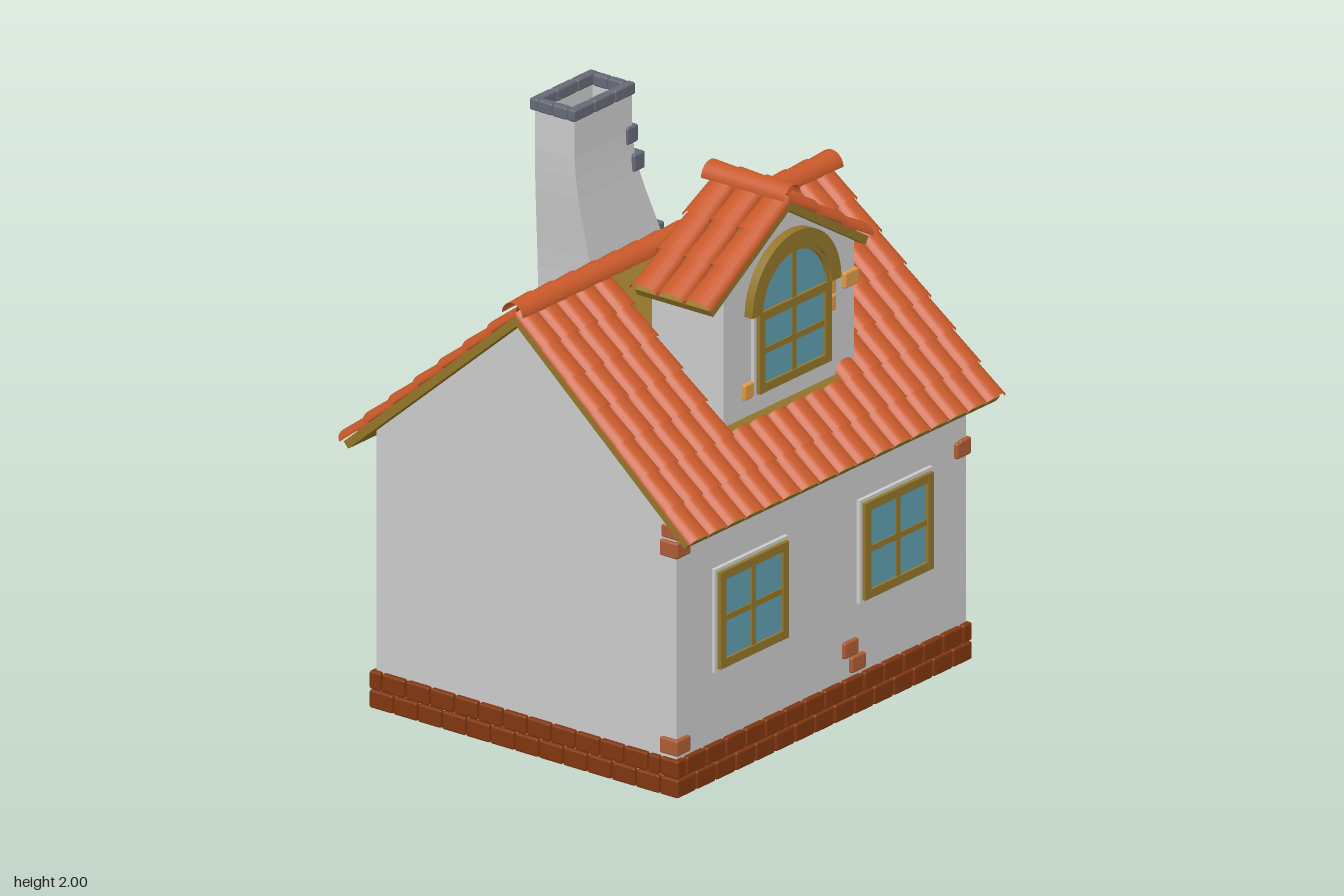
import * as THREE from 'three';
import { mergeGeometries } from 'three/addons/utils/BufferGeometryUtils.js';
import { RoundedBoxGeometry } from 'three/addons/geometries/RoundedBoxGeometry.js';

const mat = (color, extra = {}) => new THREE.MeshStandardMaterial({ color, ...extra });
const M = {
  wall: mat(0xcccccc), grey: mat(0xcccccc, { side: THREE.DoubleSide, flatShading: true }),
  tile: mat(0xc8592a, { side: THREE.DoubleSide }), gold: mat(0x94762a), glass: mat(0x5f9fb0),
  brick: mat(0x80360f), light: mat(0xe09a48), dark: mat(0xad5d35), slate: mat(0x666a76),
  wood: mat(0x85552f), stone: mat(0xd2cdd2), leg: mat(0xb5653a)
};

function add(parent, name, geo, material, x = 0, y = 0, z = 0) {
  const m = new THREE.Mesh(geo, material);
  m.name = name;
  m.position.set(x, y, z);
  parent.add(m);
  return m;
}
function group(parent, name, x = 0, y = 0, z = 0, ry = 0) {
  const g = new THREE.Group();
  g.name = name;
  g.position.set(x, y, z);
  g.rotation.y = ry;
  parent.add(g);
  return g;
}
const box = (w, h, d) => new THREE.BoxGeometry(w, h, d);
const rbox = (w, h, d) => new RoundedBoxGeometry(w, h, d, 1, 0.008);
const extrude = (shape, depth) =>
  new THREE.ExtrudeGeometry(shape, { depth, bevelEnabled: false, curveSegments: 20 });
const poly = pts => new THREE.Shape(pts.map(p => new THREE.Vector2(...p)));

// Half-elliptical band
function archGeo(rx, ry, t, depth) {
  const s = new THREE.Shape();
  s.moveTo(rx, 0);
  s.absellipse(0, 0, rx, ry, 0, Math.PI, false);
  s.lineTo(t - rx, 0);
  s.absellipse(0, 0, rx - t, ry - t, Math.PI, 0, true);
  return extrude(s, depth);
}

// One roof slope: slab plus overlapping half-round tiles; local +z faces down the slope
function roofSide(parent, name, run, rise, cols, pitch, rows, skip = () => false) {
  const len = Math.hypot(run, rise), step = len / rows;
  const slope = group(parent, name, 0, 0, run);
  slope.rotation.x = -Math.atan2(run, rise);
  add(slope, 'roofSlab', box(cols * pitch - 0.02, len, 0.03), M.gold, 0, len / 2, -0.015);
  const tiles = [];
  for (let c = 0; c < cols; c++) for (let r = 0; r < rows; r++) {
    if (skip(c, r)) continue;
    const g = new THREE.CylinderGeometry(pitch * 0.46, pitch * 0.52, step * 1.1, 8, 1, true, -Math.PI / 2, Math.PI);
    g.scale(1, 1, 0.62);
    g.rotateX(-0.05);
    tiles.push(g.translate((c - (cols - 1) / 2) * pitch, (r + 0.5) * step, 0.002));
  }
  add(slope, 'roofTiles', mergeGeometries(tiles), M.tile);
}

// Row of tapered half-round ridge tiles along x
function ridge(parent, name, length, n, r) {
  const step = length / n, parts = [];
  for (let i = 0; i < n; i++) {
    const g = new THREE.CylinderGeometry(r * 0.88, r, step * 1.06, 10, 1, true, -Math.PI / 2, Math.PI);
    g.rotateZ(Math.PI / 2).rotateX(-Math.PI / 2);
    parts.push(g.translate((i + 0.5) * step - length / 2, 0, 0));
  }
  return add(parent, name, mergeGeometries(parts), M.tile);
}

// Framed window with a grid of panes, centred on its own origin
function windowUnit(parent, name, x, y, w, h, rows = 2) {
  const g = group(parent, name, x, y, 0);
  add(g, 'trim', box(w + 0.025, h + 0.025, 0.03), M.wall);
  add(g, 'glass', box(w - 0.04, h - 0.04, 0.01), M.glass, 0, 0, 0.014);
  for (const s of [-1, 1]) add(g, 'frameSide', box(0.032, h, 0.04), M.gold, s * (w / 2 - 0.016), 0, 0.01);
  add(g, 'mullion', box(0.022, h, 0.03), M.gold, 0, 0, 0.01);
  for (let i = 0; i <= rows; i++) {
    const edge = i % rows === 0;
    add(g, 'frameBar', box(w - 0.01, edge ? 0.032 : 0.022, edge ? 0.039 : 0.028), M.gold,
      0, (h - 0.032) * (i / rows - 0.5), 0.01);
  }
  return g;
}

// Accent stones: [x, y, width, height, material, protrusion]
function stones(parent, list) {
  for (const [x, y, w = 0.075, h = 0.06, m = M.light, out = 0.015] of list)
    add(parent, 'accentStone', rbox(w, h, 0.08), m, x, y, out - 0.04);
}

// Two staggered courses of bricks between two ground points
function brickRun(parent, x0, z0, x1, z1) {
  const len = Math.hypot(x1 - x0, z1 - z0), n = Math.max(1, Math.round(len / 0.108)), step = len / n;
  const g = group(parent, 'brickBase', x0, 0, z0, -Math.atan2(z1 - z0, x1 - x0));
  for (let row = 0; row < 2; row++) {
    const cuts = [0];
    for (let i = 1; i < n + row; i++) cuts.push((i - row / 2) * step);
    cuts.push(len);
    for (let i = 0; i + 1 < cuts.length; i++)
      add(g, 'brick', rbox(cuts[i + 1] - cuts[i] - 0.005, 0.067, 0.08), M.brick,
        (cuts[i] + cuts[i + 1]) / 2, 0.041 + row * 0.071, 0);
  }
}

export function createModel() {
  const house = new THREE.Group();
  house.name = 'cottage';

  // Floor and brick plinth
  add(house, 'floor', box(1.58, 0.012, 1.28), M.wall, 0, 0.012, 0.07);
  for (const r of [[-0.83, 0.71, 0.815, 0.71], [-0.79, 0.67, -0.79, -0.61], [-0.75, -0.57, 0.36, -0.57],
    [0.4, -0.53, 0.4, -0.83], [0.44, -0.79, 0.815, -0.79], [0.775, -0.75, 0.775, -0.35], [0.775, 0.49, 0.775, 0.67]])
    brickRun(house, ...r);

  // Front and back walls
  add(house, 'frontWall', box(1.6, 1.04, 0.04), M.wall, -0.005, 0.53, 0.71);
  add(house, 'backWall', box(1.6, 1.04, 0.04), M.wall, -0.005, 0.53, -0.57);
  const front = group(house, 'frontDetails', 0, 0, 0.73);
  windowUnit(front, 'frontWindow', -0.41, 0.6, 0.38, 0.36);
  windowUnit(front, 'frontWindow', 0.395, 0.6, 0.38, 0.36);
  stones(front, [[-0.785, 0.19, 0.08, 0.06, M.dark], [-0.785, 0.925, 0.08, 0.06, M.dark], [-0.775, 0.985, 0.08, 0.05, M.dark],
    [0.15, 0.255, 0.08, 0.06, M.dark], [0.19, 0.19, 0.08, 0.06, M.dark], [0.785, 0.805, 0.06, 0.06, M.dark]]);

  // Gable walls, drawn with local x = -z
  const leftGable = poly([[-0.73, 0], [0.59, 0], [0.59, 1.04], [-0.07, 1.61], [-0.73, 1.04]]);
  add(group(house, 'plainGable', -0.81, 0, 0, Math.PI / 2), 'gableWall', extrude(leftGable, 0.04), M.wall);
  const side = group(house, 'doorGable', 0.8, 0, 0, Math.PI / 2);
  const s = new THREE.Shape();
  s.moveTo(-0.73, 0.005); s.lineTo(-0.38, 0.005); s.lineTo(-0.38, 0.67);
  s.absellipse(-0.07, 0.67, 0.31, 0.21, Math.PI, 0, true);
  s.lineTo(0.24, 0.005); s.lineTo(0.59, 0.005); s.lineTo(0.59, 1.04); s.lineTo(-0.07, 1.61); s.lineTo(-0.73, 1.04);
  add(side, 'gableWall', extrude(s, 0.04), M.wall, 0, 0, -0.04);

  // Arched doorway
  add(side, 'doorArch', archGeo(0.41, 0.28, 0.11, 0.08), M.gold, -0.07, 0.67, -0.05);
  for (const u of [-0.425, 0.285]) {
    add(side, 'doorColumn', box(0.11, 0.63, 0.075), M.stone, u, 0.355, -0.015);
    add(side, 'columnFoot', rbox(0.125, 0.06, 0.11), M.stone, u, 0.035, -0.005);
  }
  const c = 0.037;
  stones(side, [[-0.705, 0.8, 0.08, 0.06, M.dark], [-0.485, 0.8, 0.09, 0.07, M.dark], [-0.5, 0.27, 0.05, 0.05, M.dark],
    [-0.435, 0.585, 0.06, 0.07, M.light, c], [-0.405, 0.465, 0.06, 0.065, M.light, c], [-0.445, 0.18, 0.04, 0.04, M.light, c],
    [-0.435, 0.09, 0.055, 0.04, M.light, c], [0.285, 0.475, 0.06, 0.07, M.light, c], [0.295, 0.415, 0.055, 0.035, M.light, c],
    [0.3, 0.09, 0.055, 0.04, M.light, c], [-0.255, 1.36, 0.09], [-0.255, 1.3, 0.065], [-0.255, 1.07, 0.07, 0.05],
    [-0.255, 1.015, 0.09, 0.05], [0.1, 1.23, 0.055], [0.11, 1.17]]);
  windowUnit(side, 'gableWindow', -0.07, 1.2, 0.29, 0.29);

  // Plank shutter with heart
  const shutter = group(side, 'shutter', 0.56, 0, 0);
  for (let i = 0; i < 4; i++) {
    const inner = i === 1 || i === 2;
    add(shutter, 'plank', box(0.068, inner ? 0.33 : 0.3, 0.03), M.wood, (i - 1.5) * 0.072, inner ? 0.495 : 0.48, 0.008);
  }
  const arch = add(shutter, 'shutterArch', archGeo(0.19, 0.13, 0.045, 0.06), M.gold, 0, 0.56, -0.015);
  arch.scale.x = 1.02;
  const heart = new THREE.Shape();
  heart.moveTo(0, -0.055);
  heart.bezierCurveTo(0.05, -0.02, 0.085, 0, 0.085, 0.03);
  heart.bezierCurveTo(0.085, 0.068, 0.02, 0.068, 0, 0.03);
  heart.bezierCurveTo(-0.02, 0.068, -0.085, 0.068, -0.085, 0.03);
  heart.bezierCurveTo(-0.085, 0, -0.05, -0.02, 0, -0.055);
  add(shutter, 'heart', extrude(heart, 0.01), M.glass, 0.005, 0.51, 0.02);

  // Main roof, with tiles left out where the dormer stands
  const roof = group(house, 'mainRoof', 0, 0.99, 0.07);
  roofSide(roof, 'frontSlope', 0.76, 0.66, 17, 0.103, 7, (col, row) => col > 4 && col < 11 && row > 1);
  roofSide(group(roof, 'backHalf', 0, 0, 0, Math.PI), 'backSlope', 0.76, 0.66, 17, 0.103, 7);
  ridge(roof, 'ridgeTiles', 1.77, 15, 0.052).position.y = 0.668;

  // Dormer
  const dormer = group(house, 'dormer');
  const body = poly([[-0.365, 1.2], [0.36, 1.2], [0.36, 1.67], [0, 1.89], [-0.365, 1.67]]);
  add(dormer, 'dormerWalls', extrude(body, 0.315), M.wall, 0, 0, 0.27);
  const dRoof = group(dormer, 'dormerRoof', 0, 1.66, 0.42);
  for (const d of [-1, 1])
    roofSide(group(dRoof, 'dormerHalf', 0, 0, 0, d * Math.PI / 2), 'dormerSlope', 0.44, 0.27, 3, 0.118, 3);
  const dRidge = ridge(dRoof, 'dormerRidge', 0.355, 3, 0.053);
  dRidge.position.y = 0.287;
  dRidge.rotation.y = Math.PI / 2;
  const dFront = group(dormer, 'dormerFront', 0, 0, 0.585);
  windowUnit(dFront, 'dormerWindow', 0, 1.43, 0.4, 0.3);
  const pane = new THREE.Shape();
  pane.moveTo(-0.185, 0);
  pane.absellipse(0, 0, 0.185, 0.185, Math.PI, 0, true);
  add(dFront, 'archPane', extrude(pane, 0.01), M.glass, 0, 1.575, 0.008);
  add(dFront, 'archMullion', box(0.022, 0.18, 0.03), M.gold, 0, 1.665, 0.01);
  add(dFront, 'archFrame', archGeo(0.2, 0.2, 0.022, 0.03), M.gold, 0, 1.575, -0.002);
  add(dFront, 'windowArch', archGeo(0.247, 0.25, 0.055, 0.05), M.gold, 0, 1.578, -0.015);
  stones(dFront, [[0.22, 1.545, 0.055], [0.22, 1.48, 0.055], [-0.235, 1.3, 0.055], [0.347, 1.54, 0.045]]);
  stones(group(dormer, 'dormerSide', 0.36, 0, 0, Math.PI / 2), [[-0.56, 1.54, 0.08], [-0.295, 1.595, 0.08]]);

  // Chimney: square tube whose cross-section shifts and narrows with height
  const chimney = group(house, 'chimney');
  const geo = new THREE.CylinderGeometry(Math.SQRT1_2, Math.SQRT1_2, 1, 4, 24, true, Math.PI / 4);
  const p = geo.attributes.position;
  for (let i = 0; i < p.count; i++) {
    const y = 0.01 + (p.getY(i) + 0.5) * 1.82, k = THREE.MathUtils.smoothstep(y, 1.08, 1.7);
    const x = THREE.MathUtils.lerp(p.getX(i) > 0 ? 0.8 : 0.38, p.getX(i) > 0 ? 0.65 : 0.33, k);
    const z = THREE.MathUtils.lerp(p.getZ(i) > 0 ? -0.57 : -0.82, p.getZ(i) > 0 ? -0.62 : -0.795, k);
    p.setXYZ(i, x, y, z);
  }
  add(chimney, 'chimneyStack', geo, M.grey);
  for (const z of [-0.625, -0.79]) for (let i = 0; i < 3; i++)
    add(chimney, 'capStone', rbox(0.113, 0.045, 0.035), M.slate, 0.37 + i * 0.115, 1.842, z);
  for (const x of [0.33, 0.637]) for (const z of [-0.675, -0.74])
    add(chimney, 'capStone', rbox(0.035, 0.045, 0.065), M.slate, x, 1.842, z);
  for (const [x, y, z, w] of [[0.645, 1.67, -0.65, 0.08], [0.67, 1.565, -0.65, 0.1], [0.765, 1.275, -0.64, 0.1], [0.785, 1.17, -0.615, 0.06]])
    add(chimney, 'chimneyStone', rbox(0.06, 0.065, w), M.slate, x, y, z);

  // Round table inside
  const table = group(house, 'table', 0, 0, 0.07);
  for (const [name, r, h, y, m] of [['tableBase', 0.12, 0.018, 0.009, M.leg], ['tableFoot', 0.17, 0.006, 0.022, M.slate],
    ['tableLeg', 0.022, 0.24, 0.13, M.leg], ['tableApron', 0.19, 0.012, 0.252, M.wall], ['tableCore', 0.17, 0.02, 0.267, M.wood],
    ['tableTop', 0.205, 0.012, 0.28, M.wall]])
    add(table, name, new THREE.CylinderGeometry(r, r, h, 24), m, 0, y, 0);
  return house;
}
